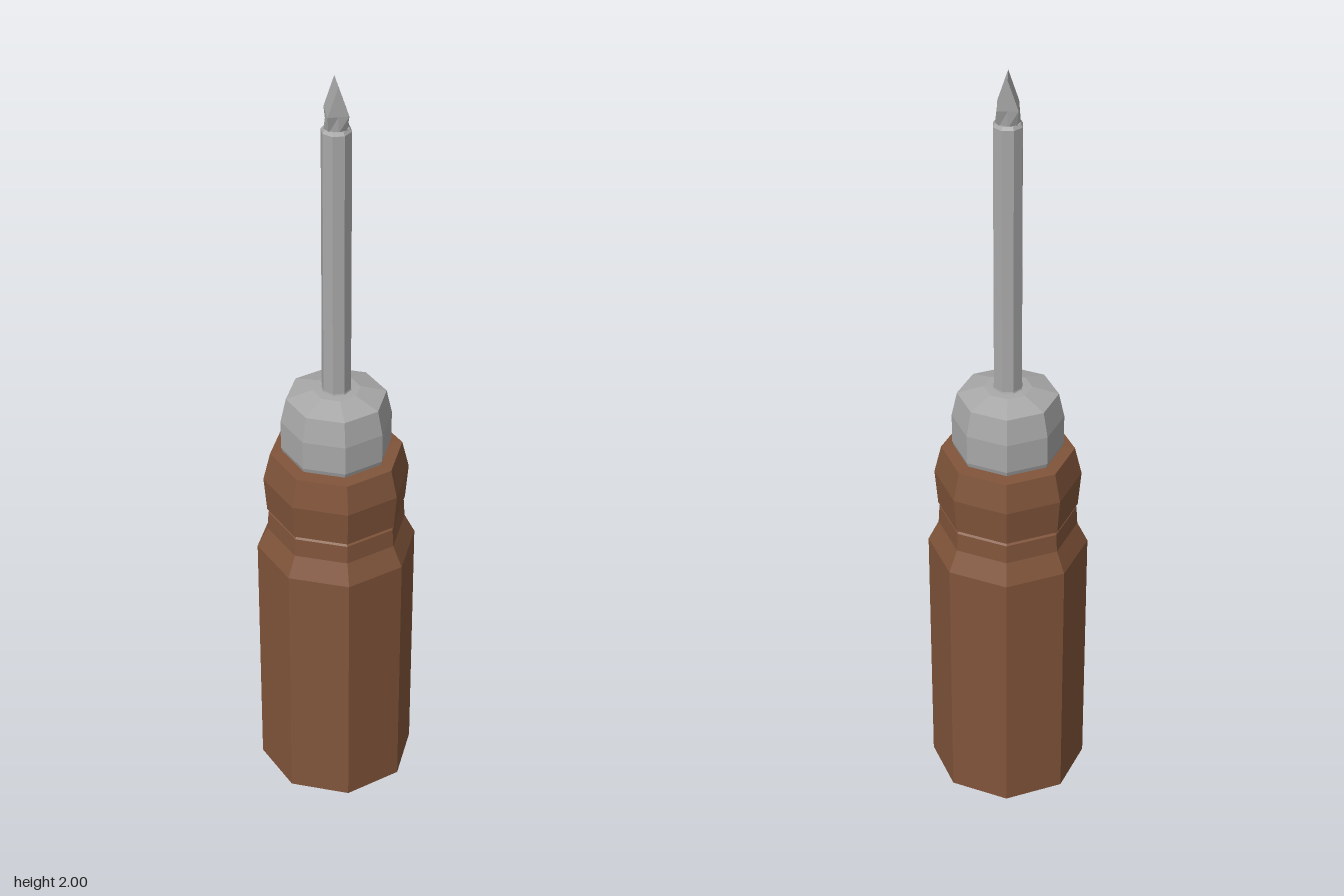
import * as THREE from 'three';

const SIDES = 8;

export function createModel() {
  const group = new THREE.Group();
  const flat = (name, color) => {
    const m = new THREE.MeshStandardMaterial({ color, flatShading: true });
    m.name = name;
    return m;
  };
  const wood = flat('brown wood', 0x80543a);
  const metal = flat('grey metal', 0xa8a8a8);

  const add = (name, geometry, material) => {
    const mesh = new THREE.Mesh(geometry, material);
    mesh.name = name;
    group.add(mesh);
    return mesh;
  };
  // Eight-sided turned part from [radius, height] pairs, bottom to top
  const turned = (name, profile, material) =>
    add(name, new THREE.LatheGeometry(profile.map(([r, y]) => new THREE.Vector2(r, y)), SIDES), material);

  // Handle: straight grip, waist with a thin groove, rounded shoulder
  turned('handle', [
    [0, 0], [0.205, 0], [0.205, 0.71], [0.178, 0.765], [0.175, 0.815],
    [0.17, 0.82], [0.178, 0.825], [0.186, 0.92], [0.168, 0.995], [0, 1.008],
  ], wood);

  // Ferrule between handle and shaft
  turned('ferrule', [
    [0, 1.0], [0.136, 1.0], [0.14, 1.012], [0.14, 1.09], [0.126, 1.155], [0.06, 1.175], [0, 1.178],
  ], metal);

  // Shaft with a small chamfer at its upper end
  const shaft = turned('shaft', [
    [0.04, 1.17], [0.037, 1.18], [0.037, 1.878], [0.031, 1.886], [0, 1.886],
  ], metal);
  shaft.rotation.y = Math.PI / SIDES;

  // Flat blade: octagonal root, boxy middle, then a wedge ending in an edge along z
  const levels = [
    { y: 2.0, x: 0, z: 0.031, box: true },
    { y: 1.925, x: 0.025, z: 0.031, box: true },
    { y: 1.88, x: 0.03, z: 0.027, box: false },
  ];
  const blade = new THREE.CylinderGeometry(1, 1, 2, SIDES, 2, true);
  const p = blade.attributes.position;
  for (let i = 0; i < p.count; i++) {
    const { y, x, z, box } = levels[1 - Math.round(p.getY(i))];
    const fit = (v) => (box ? Math.sign(Math.round(v * 10)) : v);
    p.setXYZ(i, fit(p.getX(i)) * x, y, fit(p.getZ(i)) * z);
  }
  blade.computeVertexNormals();
  add('bladeTip', blade, metal);

  return group;
}
